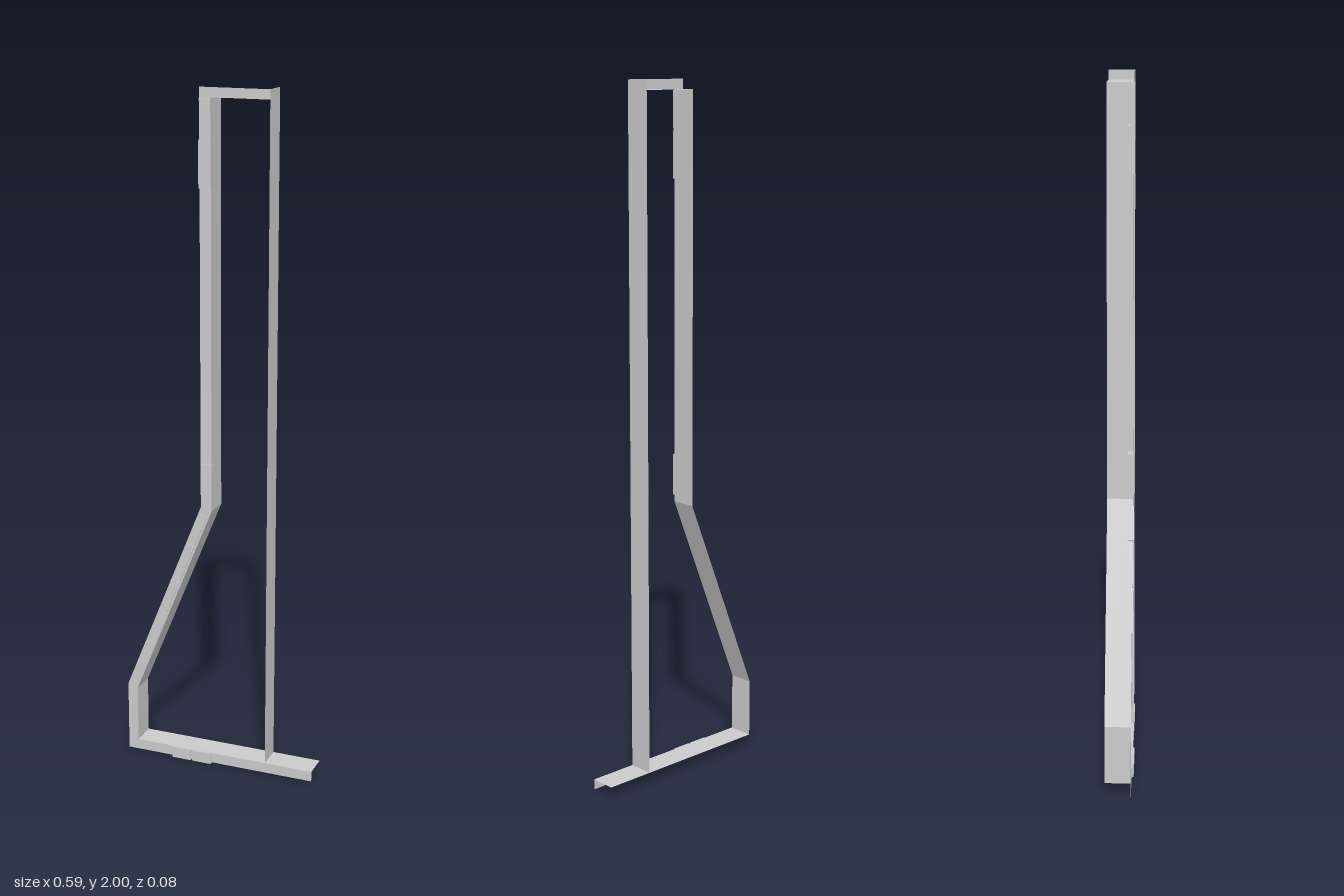
import * as THREE from 'three';

const FRONT = 0.033, BACK = -0.042;

export function createModel() {
  const group = new THREE.Group();
  const mat = new THREE.MeshStandardMaterial({ color: 0xcccccc, flatShading: true, side: THREE.DoubleSide });
  const add = (name, geo) => {
    const mesh = new THREE.Mesh(geo, mat);
    mesh.name = name;
    group.add(mesh);
    return mesh;
  };

  // Flat face trim: top bar, post, slanted leg, short leg and bottom bar
  const outer = [[0.147, 2], [-0.055, 2], [-0.055, 0.815], [-0.295, 0.218], [-0.295, 0.005], [0.293, 0.005]];
  const inner = [[0.147, 1.973], [-0.022, 1.973], [-0.022, 0.805], [-0.264, 0.208], [-0.264, 0.036], [0.293, 0.036]];
  const outline = [...outer, ...inner.slice().reverse()].map(p => new THREE.Vector2(...p));
  add('faceTrim', new THREE.ShapeGeometry(new THREE.Shape(outline))).position.z = FRONT;

  // Thin reveal walls running back from the trim's inner edge
  const wall = (name, [x1, y1], [x2, y2]) => {
    const geo = new THREE.PlaneGeometry(Math.hypot(x2 - x1, y2 - y1), FRONT - BACK);
    geo.rotateX(-Math.PI / 2);
    const mesh = add(name, geo);
    mesh.position.set((x1 + x2) / 2, (y1 + y2) / 2, (FRONT + BACK) / 2);
    mesh.rotation.z = Math.atan2(y2 - y1, x2 - x1);
  };
  ['topReveal', 'postReveal', 'slantedReveal', 'shortLegReveal', 'bottomReveal']
    .forEach((name, i) => wall(name, inner[i], inner[i + 1]));
  wall('sideReveal', [0.147, 0.036], [0.147, 2]);

  // Small backing plates: a slim box laid along the trim between two points
  const plate = (name, [x1, y1], [x2, y2], width, back = 0.017, front = 0.037) => {
    const geo = new THREE.BoxGeometry(Math.hypot(x2 - x1, y2 - y1), width, front - back);
    const mesh = add(name, geo);
    mesh.position.set((x1 + x2) / 2, (y1 + y2) / 2, (front + back) / 2);
    mesh.rotation.z = Math.atan2(y2 - y1, x2 - x1);
  };
  plate('upperPlate', [-0.039, 1.73], [-0.039, 1.86], 0.036);
  plate('topPlate', [-0.038, 1.86], [-0.038, 1.97], 0.033, 0.025);
  plate('kneePlate', [-0.037, 0.825], [-0.037, 0.945], 0.033);

  // Row of plates down the slanted leg
  const slope = y => [-0.041 - (0.81 - y) * 0.405, y];
  [[0.7, 0.79], [0.58, 0.695], [0.46, 0.575]].forEach(([a, b]) =>
    plate('slantedPlate', slope(a), slope(b), 0.026, 0.018, 0.036));

  // Plates under the bottom bar
  [[-0.15, -0.09], [-0.085, -0.025]].forEach(([a, b]) =>
    plate('bottomPlate', [a, 0.018], [b, 0.018], 0.034, 0.02, 0.038));

  return group;
}
